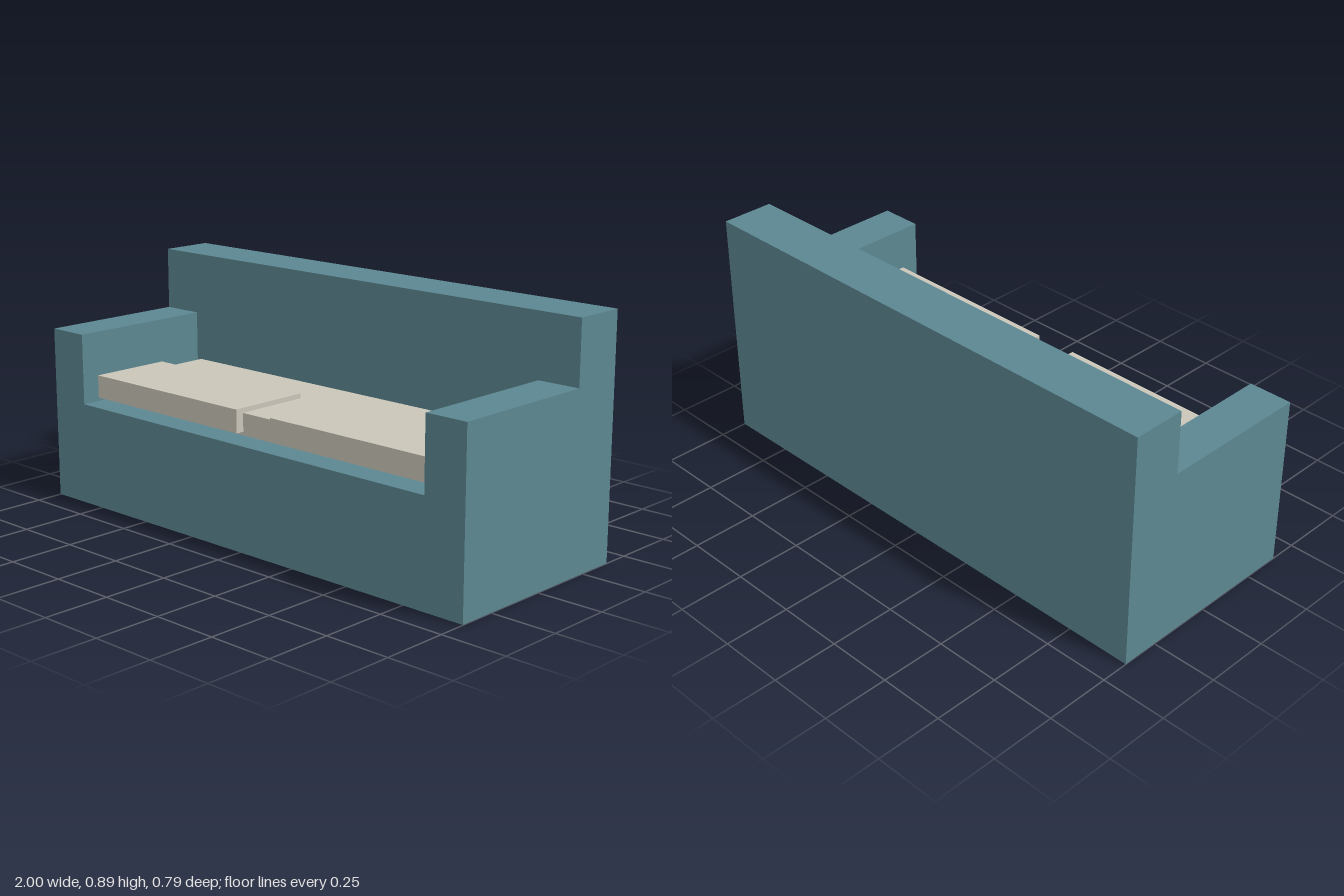
import * as THREE from 'three';

export function createModel() {
  const sofa = new THREE.Group();
  sofa.name = 'sofa';

  const upholstery = new THREE.MeshStandardMaterial({ color: 0x5c8791 });
  upholstery.name = 'tealUpholstery';
  const cushionFabric = new THREE.MeshStandardMaterial({ color: 0xcac5b8 });
  cushionFabric.name = 'beigeCushion';
  const wood = new THREE.MeshStandardMaterial({ color: 0x80695c });
  wood.name = 'brownFeet';

  const add = (name, geometry, material) => {
    const mesh = new THREE.Mesh(geometry, material);
    mesh.name = name;
    sofa.add(mesh);
    return mesh;
  };

  // Box given by its lower and upper limits on each axis
  const box = (name, material, [x0, x1], [y0, y1], [z0, z1]) =>
    add(name, new THREE.BoxGeometry(x1 - x0, y1 - y0, z1 - z0), material)
      .position.set((x0 + x1) / 2, (y0 + y1) / 2, (z0 + z1) / 2);

  const floor = 0.001, seatTop = 0.39, armTop = 0.658, backTop = 0.894;
  const armInner = 0.835, depth = 0.394, backFront = -0.19;

  // Base and both arms as one U-shaped block
  const profile = new THREE.Shape([
    [-1, floor], [1, floor], [1, armTop], [armInner, armTop],
    [armInner, seatTop], [-armInner, seatTop], [-armInner, armTop], [-1, armTop],
  ].map(([x, y]) => new THREE.Vector2(x, y)));
  const block = new THREE.ExtrudeGeometry(profile, { depth: depth - backFront, bevelEnabled: false });
  add('baseAndArms', block, upholstery).position.z = backFront;

  // Tall backrest reaching the floor
  box('backrest', upholstery, [-1, 1], [floor, backTop], [-depth, backFront]);

  // Long lower cushion with a raised cushion on each side
  box('seatCushion', cushionFabric, [-0.815, 0.815], [seatTop, 0.472], [backFront, 0.29]);
  box('rightCushion', cushionFabric, [-armInner, -0.083], [0.403, 0.49], [0, 0.323]);
  box('leftCushion', cushionFabric, [0.083, armInner], [0.403, 0.49], [0, 0.323]);

  // Small foot pads under the corners
  for (const x of [-0.91, 0.91]) {
    for (const z of [-0.3, 0.3]) {
      box('foot', wood, [x - 0.02, x + 0.02], [0, 0.008], [z - 0.02, z + 0.02]);
    }
  }
  return sofa;
}
